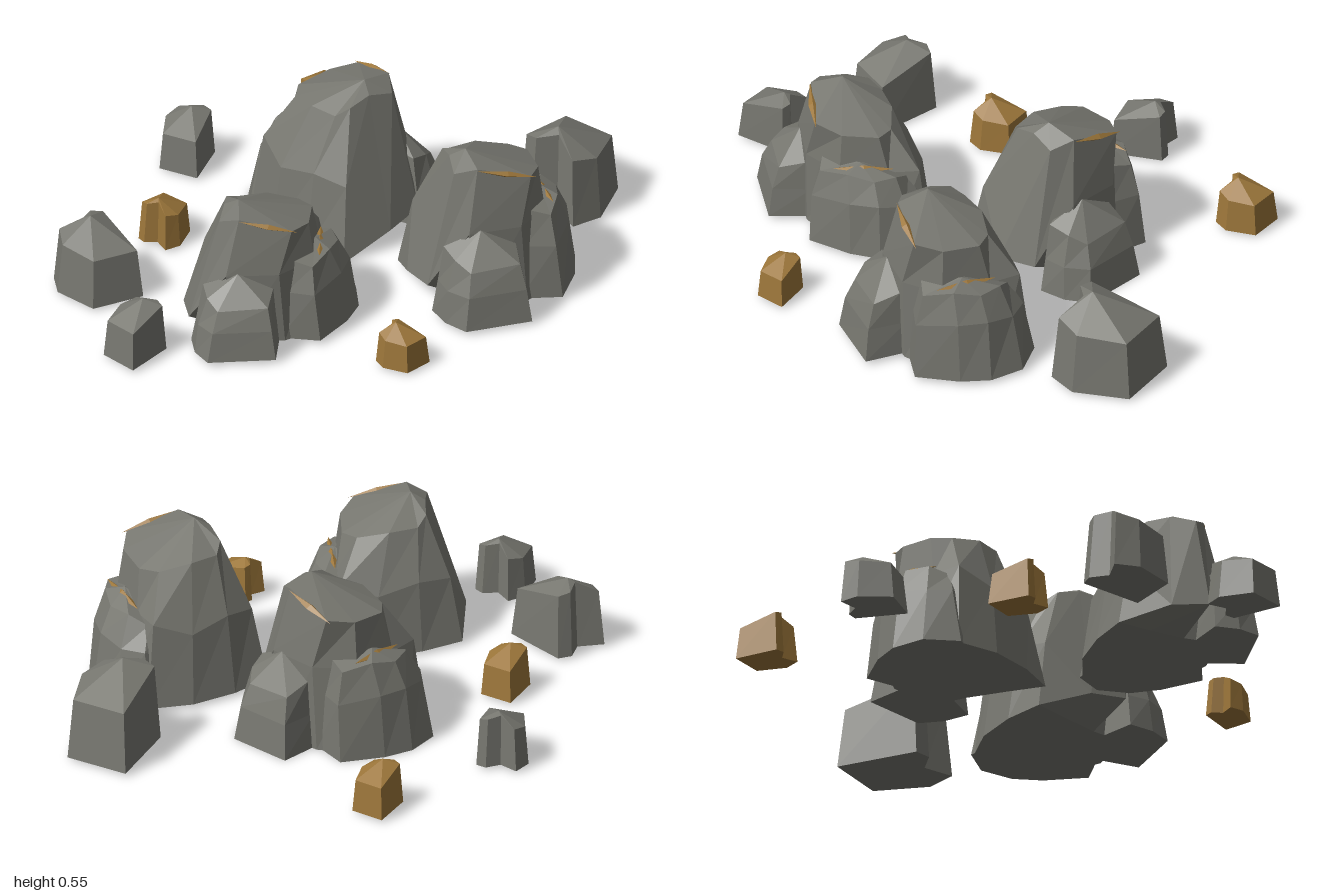
import * as THREE from 'three';

const stone = new THREE.MeshStandardMaterial({ color: 0x777770, flatShading: true });
const ore = new THREE.MeshStandardMaterial({ color: 0x9c763a, flatShading: true });

// Skin closed rings of [x, y, z] points, closed by a fan at the foot and one at the peak.
function rockGeometry(rings, foot, peak) {
  const pos = [];
  const n = rings[0].length;
  for (let i = 0; i < n; i++) {
    const j = (i + 1) % n;
    for (let r = 0; r + 1 < rings.length; r++) {
      const a = rings[r], b = rings[r + 1];
      pos.push(...a[i], ...b[i], ...a[j], ...a[j], ...b[i], ...b[j]);
    }
    const top = rings[rings.length - 1];
    pos.push(...top[i], ...peak, ...top[j], ...foot, ...rings[0][i], ...rings[0][j]);
  }
  const g = new THREE.BufferGeometry();
  g.setAttribute('position', new THREE.Float32BufferAttribute(pos, 3));
  g.computeVertexNormals();
  return g;
}

// Each column runs from the ground to a shoulder to the rim: [x,z, x,y,z, x,y,z]
function columnRock(columns, peak) {
  const base = columns.map(c => [c[0], 0, c[1]]);
  const shoulder = columns.map(c => c.slice(2, 5));
  const rim = columns.map(c => c.slice(5, 8));
  return rockGeometry([base, shoulder, rim], [peak[0], 0, peak[2]], peak);
}

// Main rock, undercut at the ground on its +z side
const mainGeometry = columnRock([
  [0.10, -0.38, 0.10, 0.30, -0.31, 0.13, 0.45, -0.29],
  [0.28, -0.36, 0.27, 0.30, -0.31, 0.26, 0.46, -0.29],
  [0.37, -0.22, 0.37, 0.30, -0.20, 0.345, 0.48, -0.24],
  [0.38, -0.04, 0.37, 0.30, -0.02, 0.33, 0.53, -0.06],
  [0.25, 0.00, 0.32, 0.09, 0.11, 0.29, 0.50, 0.01],
  [0.12, 0.06, 0.18, 0.07, 0.14, 0.20, 0.52, 0.00],
  [0.00, 0.12, 0.04, 0.26, 0.08, 0.12, 0.50, 0.00],
  [-0.05, -0.02, -0.01, 0.28, -0.03, 0.08, 0.47, -0.03],
  [-0.07, -0.18, -0.04, 0.25, -0.17, 0.06, 0.47, -0.13],
  [-0.04, -0.33, -0.01, 0.30, -0.30, 0.08, 0.45, -0.24],
], [0.22, 0.55, -0.05]);

const slabGeometry = columnRock([
  [-0.05, -0.33, -0.01, 0.20, -0.33, 0.03, 0.28, -0.30],
  [0.03, -0.43, 0.05, 0.20, -0.39, 0.08, 0.31, -0.35],
  [0.15, -0.45, 0.15, 0.22, -0.42, 0.16, 0.31, -0.38],
  [0.25, -0.42, 0.25, 0.22, -0.40, 0.25, 0.33, -0.36],
  [0.38, -0.34, 0.37, 0.20, -0.32, 0.34, 0.31, -0.31],
  [0.35, -0.20, 0.34, 0.20, -0.22, 0.32, 0.33, -0.24],
  [0.00, -0.20, 0.02, 0.20, -0.20, 0.05, 0.30, -0.22],
], [0.20, 0.35, -0.31]);

const sideGeometry = columnRock([
  [0.34, -0.20, 0.35, 0.12, -0.19, 0.37, 0.24, -0.18],
  [0.50, -0.20, 0.485, 0.12, -0.185, 0.46, 0.21, -0.17],
  [0.505, 0.03, 0.49, 0.12, 0.015, 0.46, 0.20, 0.00],
  [0.43, 0.08, 0.42, 0.12, 0.07, 0.41, 0.23, 0.04],
  [0.34, 0.10, 0.34, 0.12, 0.08, 0.34, 0.25, 0.06],
  [0.28, -0.05, 0.29, 0.12, -0.05, 0.30, 0.27, -0.05],
], [0.37, 0.31, -0.06]);

// Notched loose rock: footprint [x, z] and rim height
const outline = [
  [-0.16, -0.07, 0.27], [0.11, -0.17, 0.21], [0.16, 0.05, 0.21], [0.00, 0.16, 0.22],
  [-0.11, 0.15, 0.24], [-0.09, 0.04, 0.29], [-0.16, -0.01, 0.28],
];
const looseGeometry = rockGeometry([
  outline.map(([x, z]) => [x, 0, z]),
  outline.map(([x, z, y]) => [x * 0.87, y, z * 0.87]),
], [0, 0, 0], [-0.06, 0.305, 0.01]);

function addMesh(parent, name, geometry, material) {
  const mesh = new THREE.Mesh(geometry, material);
  mesh.name = name;
  parent.add(mesh);
  return mesh;
}

// Thin lens of ore stretched between two points
function addVein(parent, from, to, width, height) {
  const a = new THREE.Vector3(...from), b = new THREE.Vector3(...to);
  const vein = addMesh(parent, 'oreVein', new THREE.OctahedronGeometry(1), ore);
  vein.position.copy(a).lerp(b, 0.5);
  vein.lookAt(b);
  vein.scale.set(width, height, a.distanceTo(b) / 2);
}

// Boulder with a low slab behind, a small rock beside it and two ore veins
function boulder(turn) {
  const parts = new THREE.Group();
  addMesh(parts, 'mainRock', mainGeometry, stone);
  addMesh(parts, 'backSlab', slabGeometry, stone);
  addMesh(parts, 'sideRock', sideGeometry, stone);
  addVein(parts, [0.335, 0.525, -0.06], [0.345, 0.475, -0.26], 0.016, 0.012);
  addVein(parts, [0.08, 0.322, -0.315], [0.30, 0.336, -0.33], 0.022, 0.016);
  parts.position.set(-0.2, 0, 0.15);
  const turned = new THREE.Group();
  turned.rotation.y = -THREE.MathUtils.degToRad(turn);
  turned.add(parts);
  const group = new THREE.Group();
  group.add(turned);
  return group;
}

export function createModel() {
  const model = new THREE.Group();
  model.name = 'rockField';

  // Boulders: position, turn in degrees, scale
  [
    [[0.2, 0, -0.15], 0, [1, 1, 1]],
    [[0.315, 0.015, 0.517], 112, [1, 0.97, 1]],
    [[-0.416, 0.015, 0.245], 129, [1.04, 0.85, 0.89]],
  ].forEach(([position, turn, scale], i) => {
    const b = boulder(turn);
    b.name = 'boulder' + (i + 1);
    b.position.set(...position);
    b.scale.set(...scale);
    model.add(b);
  });

  // Loose rocks: x, z, turn in degrees, scale, material
  [
    [0.84, 0.27, 0, 1, stone],
    [-0.75, -0.257, 115, 0.82, stone],
    [-0.9, 0.137, 187, 0.62, stone],
    [-0.015, -0.71, 168, 0.62, stone],
    [0.53, -0.655, 4, 0.53, ore],
    [-0.365, -0.375, 2, 0.52, ore],
    [-0.245, 0.74, 96, 0.46, ore],
  ].forEach(([x, z, turn, s, material]) => {
    const rock = addMesh(model, material === ore ? 'oreRock' : 'looseRock', looseGeometry, material);
    rock.position.set(x, 0.01, z);
    rock.rotation.y = -THREE.MathUtils.degToRad(turn);
    rock.scale.setScalar(s);
  });

  return model;
}
